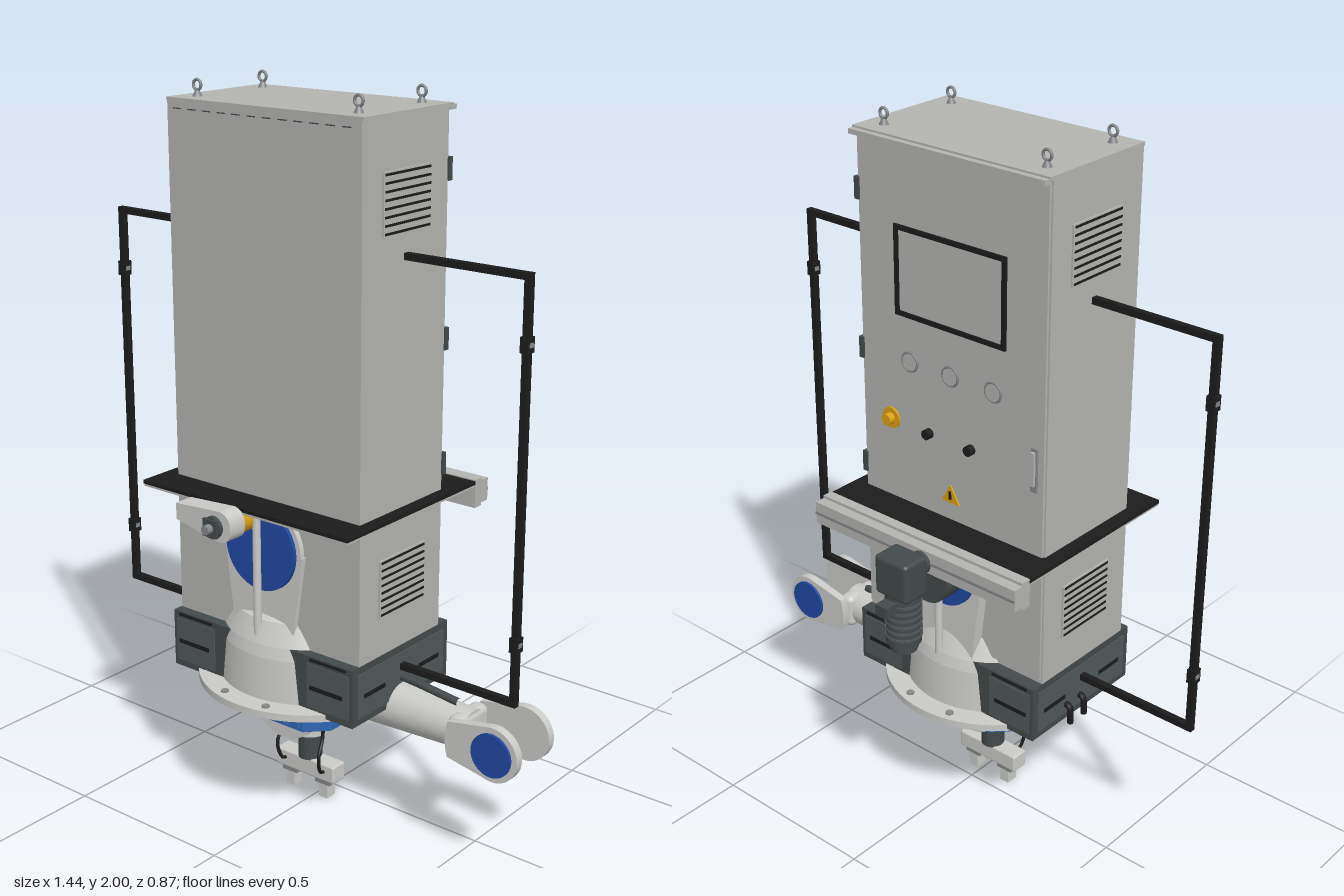
import * as THREE from 'three';
import { RoundedBoxGeometry } from 'three/addons/geometries/RoundedBoxGeometry.js';

const mat = (name, color, side = THREE.FrontSide) => {
  const m = new THREE.MeshStandardMaterial({ color, side });
  m.name = name;
  return m;
};

export function createModel() {
  const root = new THREE.Group();
  root.name = 'robotCell';
  const grey = mat('cabinetGrey', 0xb4b4b1);
  const light = mat('castingGrey', 0xcacac7, THREE.DoubleSide);
  const dark = mat('slateGrey', 0x434a4b);
  const panel = mat('panelSlate', 0x50585a);
  const black = mat('black', 0x1c1c1c);
  const blue = mat('capBlue', 0x2248a4);
  const baseBlue = mat('housingBlue', 0x2f68b2);
  const yellow = mat('yellow', 0xdba313);
  const steel = mat('steel', 0x85888a);

  const add = (name, geo, m, x = 0, y = 0, z = 0, parent = root) => {
    const mesh = new THREE.Mesh(geo, m);
    mesh.name = name;
    mesh.position.set(x, y, z);
    parent.add(mesh);
    return mesh;
  };
  // Box from its limits on each axis
  const box = (name, m, x0, x1, y0, y1, z0, z1, r = 0) => {
    const s = [x1 - x0, y1 - y0, z1 - z0];
    const g = r ? new RoundedBoxGeometry(...s, 3, r) : new THREE.BoxGeometry(...s);
    return add(name, g, m, (x0 + x1) / 2, (y0 + y1) / 2, (z0 + z1) / 2);
  };
  // Upright cylinder, and one lying along z
  const cylY = (name, m, x, z, y0, y1, rTop, rBottom = rTop) =>
    add(name, new THREE.CylinderGeometry(rTop, rBottom, y1 - y0, 40), m, x, (y0 + y1) / 2, z);
  const cylZ = (name, m, x, y, z0, z1, r) =>
    add(name, new THREE.CylinderGeometry(r, r, z1 - z0, 40).rotateX(Math.PI / 2), m, x, y, (z0 + z1) / 2);
  const tube = (name, m, r, pts) => add(name, new THREE.TubeGeometry(
    new THREE.CatmullRomCurve3(pts.map(p => new THREE.Vector3(...p))), 20, r, 8), m);
  const plate = (name, m, shape, z0, z1) =>
    add(name, new THREE.ExtrudeGeometry(shape, { depth: z1 - z0, bevelEnabled: false, curveSegments: 24 }), m, 0, 0, z0);

  const CX = -0.03, CZ = 0.06;

  // Cabinet with door and roof lip
  box('cabinet', grey, -0.345, 0.285, 0.5, 1.95, -0.11, 0.24);
  box('door', grey, -0.34, 0.28, 0.56, 1.935, -0.117, -0.11);
  box('roof', grey, -0.348, 0.288, 1.943, 1.953, -0.125, 0.24);
  box('roofLip', grey, -0.345, 0.285, 1.935, 1.948, -0.142, -0.118);
  for (const x of [-0.293, 0.23]) for (const z of [-0.07, 0.183]) {
    cylY('eyeboltFoot', steel, x, z, 1.95, 1.968, 0.006, 0.014);
    add('eyebolt', new THREE.TorusGeometry(0.013, 0.004, 8, 20), steel, x, 1.982, z);
  }
  for (let i = 0; i < 12; i++)
    box('seamSlot', dark, -0.325 + i * 0.05, -0.297 + i * 0.05, 1.925, 1.928, 0.24, 0.241);

  // Side louvres
  for (const x of [-0.345, 0.285]) for (const y of [0.66, 1.66]) {
    box('ventPanel', grey, x - 0.005, x + 0.005, y - 0.005, y + 0.155, -0.035, 0.16);
    for (let i = 0; i < 8; i++)
      box('ventSlot', black, x - 0.007, x + 0.007, y + i * 0.0207, y + i * 0.0207 + 0.006, -0.03, 0.155);
  }

  // Door fittings
  const rect = (s, x0, x1, y0, y1) => s.moveTo(x0, y0).lineTo(x1, y0).lineTo(x1, y1).lineTo(x0, y1).closePath();
  const screen = rect(new THREE.Shape(), -0.215, 0.155, 1.48, 1.725);
  screen.holes.push(rect(new THREE.Path(), -0.202, 0.142, 1.493, 1.712));
  plate('screenFrame', black, screen, -0.124, -0.116);
  box('screen', grey, -0.202, 0.142, 1.493, 1.712, -0.119, -0.116);
  for (const x of [0.11, -0.03, -0.174]) {
    cylZ('gaugeFace', grey, x, 1.356, -0.121, -0.116, 0.024);
    add('gaugeRing', new THREE.TorusGeometry(0.026, 0.0035, 8, 32), steel, x, 1.356, -0.119);
  }
  cylZ('stopPlate', yellow, 0.18, 1.174, -0.123, -0.116, 0.03);
  cylZ('stopButton', yellow, 0.18, 1.174, -0.142, -0.12, 0.016);
  for (const x of [0.045, -0.1]) cylZ('doorKnob', black, x, 1.17, -0.135, -0.116, 0.014);
  const sign = new THREE.Shape().moveTo(-0.06, 0.99).lineTo(0, 0.99).lineTo(-0.03, 1.042).closePath();
  plate('warningSign', yellow, sign, -0.122, -0.116);
  box('warningMark', black, -0.034, -0.026, 1.0, 1.024, -0.124, -0.121);
  box('doorHandle', steel, -0.322, -0.3, 1.12, 1.245, -0.122, -0.116, 0.002);
  box('doorLever', grey, -0.317, -0.305, 1.14, 1.235, -0.13, -0.12);
  for (const y of [1.01, 1.35, 1.79])
    box('hinge', dark, 0.275, 0.29, y - 0.03, y + 0.03, -0.123, -0.108);

  // Table around the cabinet with the rear beam
  box('tableTop', black, -0.385, 0.32, 0.927, 0.937, -0.222, 0.335);
  box('tableUnderside', grey, -0.383, 0.318, 0.92, 0.927, -0.22, 0.333);
  box('rearBeam', grey, -0.385, 0.32, 0.86, 0.94, -0.25, -0.22);
  box('rearBeamRail', grey, -0.385, 0.32, 0.868, 0.932, -0.28, -0.25);
  box('rearBeamGroove', steel, -0.385, 0.32, 0.896, 0.904, -0.283, -0.279);

  // Rear gear motor
  const MX = -0.07;
  cylZ('motorCoupling', dark, MX, 0.895, -0.32, -0.275, 0.032);
  box('gearbox', dark, MX - 0.056, MX + 0.056, 0.835, 0.95, -0.4, -0.315, 0.012);
  cylY('motorBody', dark, MX, -0.352, 0.69, 0.84, 0.047);
  cylY('motorFan', panel, MX, -0.352, 0.665, 0.695, 0.046, 0.036);
  for (let i = 0; i < 6; i++) cylY('motorFin', panel, MX, -0.352, 0.71 + i * 0.02, 0.717 + i * 0.02, 0.05);
  box('motorPlug', dark, MX - 0.02, MX + 0.02, 0.8, 0.83, -0.436, -0.39);

  // Front drive under the table edge
  const drive = new THREE.Shape().moveTo(-0.205, 0.885).lineTo(-0.1, 0.862).lineTo(-0.05, 0.855)
    .quadraticCurveTo(-0.015, 0.86, -0.015, 0.895).quadraticCurveTo(-0.015, 0.935, -0.05, 0.94)
    .lineTo(-0.205, 0.93).closePath();
  plate('driveHousing', light, drive, 0.338, 0.395);
  cylZ('driveHub', dark, MX, 0.895, 0.39, 0.408, 0.03);
  box('driveFlange', dark, MX - 0.024, MX + 0.024, 0.871, 0.919, 0.405, 0.414);
  cylZ('driveShaft', steel, MX, 0.895, 0.41, 0.432, 0.013);
  cylZ('frontSpindle', yellow, MX, 0.89, 0.24, 0.345, 0.038);
  cylZ('rearSpindle', yellow, MX, 0.905, -0.22, -0.11, 0.024);

  // Dark skirt with panels and slots
  box('skirt', dark, -0.347, 0.287, 0.38, 0.545, -0.15, 0.27);
  for (const z of [-0.151, 0.271]) for (const s of [-1, 1]) {
    const c = CX + s * 0.235;
    box('skirtPanel', panel, c - 0.07, c + 0.07, 0.4, 0.525, z - 0.002, z + 0.002);
    box('skirtSlot', black, c - 0.06, c + 0.05, 0.452, 0.464, z - 0.004, z + 0.004);
    box('skirtTopSlot', black, c - 0.06, c + 0.06, 0.535, 0.541, z - 0.004, z + 0.004);
  }
  for (const x of [-0.348, 0.288]) {
    box('skirtSidePanel', panel, x - 0.002, x + 0.002, 0.4, 0.525, -0.13, 0.25);
    for (const z of [-0.06, 0.18]) box('skirtSideSlot', black, x - 0.004, x + 0.004, 0.452, 0.464, z - 0.045, z + 0.045);
  }
  for (const z of [-0.01, 0.05])
    tube('cablePlug', black, 0.009, [[-0.34, 0.43, z], [-0.362, 0.427, z], [-0.367, 0.405, z], [-0.367, 0.375, z]]);

  // Round turret and its bolted flange
  const profile = [[0, 0.372], [0.31, 0.372], [0.31, 0.392], [0.25, 0.392], [0.243, 0.512], [0.235, 0.545], [0.21, 0.605], [0.19, 0.618], [0, 0.618]];
  const lathePts = profile.flatMap(p => [new THREE.Vector2(...p), new THREE.Vector2(...p)]);
  add('turret', new THREE.LatheGeometry(lathePts, 64), light, CX, 0, CZ);
  for (let i = 0; i < 12; i++) {
    const a = (i + 0.5) * Math.PI / 6;
    cylY('flangeBolt', steel, CX + 0.282 * Math.cos(a), CZ + 0.282 * Math.sin(a), 0.368, 0.396, 0.011);
  }

  // Tapered uprights with blue bearing caps, front and back
  const HY = 0.805;
  const upright = new THREE.Shape().moveTo(CX - 0.1, 0.55).lineTo(CX + 0.1, 0.55).lineTo(CX + 0.137, HY)
    .absarc(CX, HY, 0.132, 0, Math.PI, false).closePath();
  plate('frontUpright', light, upright, 0.238, 0.255);
  plate('rearUpright', light, upright, -0.15, -0.118);
  cylZ('frontCap', blue, CX, HY, 0.25, 0.266, 0.118);
  cylZ('rearCap', blue, CX, HY, -0.16, -0.145, 0.11);
  cylZ('rearHub', dark, CX, HY, -0.222, -0.155, 0.075);
  cylY('frontRod', light, CX, 0.277, 0.54, 0.9, 0.011);
  cylY('rearRod', light, CX, -0.172, 0.54, 0.9, 0.011);

  // Blue housing and the round knuckle beneath it
  const oct = new THREE.Shape();
  [[-0.155, -0.09], [-0.1, -0.147], [0.1, -0.147], [0.155, -0.09], [0.155, 0.09], [0.1, 0.147], [-0.1, 0.147], [-0.155, 0.09]]
    .forEach(([x, z], i) => (i ? oct.lineTo(x, z) : oct.moveTo(x, z)));
  add('blueHousing', new THREE.ExtrudeGeometry(oct, { depth: 0.1, bevelEnabled: false }).rotateX(-Math.PI / 2), baseBlue, CX - 0.005, 0.272, CZ);
  for (let i = -2; i <= 2; i++)
    box('housingRib', baseBlue, CX - 0.005 + i * 0.04, CX + 0.005 + i * 0.04, 0.28, 0.365, -0.094, 0.214);
  cylZ('knuckle', light, CX, 0.335, -0.05, 0.178, 0.12);

  // Wrist, gripper and hoses
  cylY('wristCollar', light, CX, CZ, 0.19, 0.225, 0.05);
  cylY('wristShaft', dark, CX, CZ, 0.11, 0.195, 0.034);
  box('gripperBody', light, CX - 0.105, CX + 0.105, 0.06, 0.113, 0.033, 0.087, 0.006);
  for (const s of [-1, 1]) {
    const fx = CX + s * 0.06;
    box('gripperSlide', steel, fx - 0.026, fx + 0.026, 0.046, 0.062, 0.04, 0.08);
    box('gripperFinger', light, fx - 0.015, fx + 0.015, 0.003, 0.05, 0.042, 0.078);
    const hx = CX + s * 0.07;
    tube('hose', black, 0.005, [[hx, 0.27, 0.09], [hx, 0.2, 0.09], [hx + s * 0.006, 0.15, 0.115], [hx, 0.095, 0.1], [hx, 0.09, 0.08]]);
  }

  // Side arm ending in a fork with blue caps
  const arm = add('sideArm', new THREE.CylinderGeometry(0.057, 0.074, 0.43, 40), light, 0.31, 0.37, CZ);
  arm.rotation.z = -Math.PI / 2;
  box('forkBridge', light, 0.48, 0.53, 0.318, 0.424, -0.008, 0.124, 0.02);
  const fork = new THREE.Shape().moveTo(0.5, 0.32).lineTo(0.615, 0.299)
    .absarc(0.638, 0.371, 0.076, -1.85, 1.85, false).lineTo(0.5, 0.422)
    .quadraticCurveTo(0.485, 0.371, 0.5, 0.32);
  for (const [z0, z1] of [[-0.03, -0.006], [0.12, 0.145]]) {
    plate('forkPlate', light, fork, z0, z1);
    cylZ('forkCap', blue, 0.638, 0.371, z0 < 0 ? -0.037 : 0.14, z0 < 0 ? -0.025 : 0.152, 0.06);
  }
  tube('armCable', dark, 0.011, [[0.28, 0.455, CZ], [0.36, 0.448, CZ], [0.475, 0.435, CZ]]);

  // Square-tube guard frames on both sides
  const T = 0.009;
  for (const [outer, wall] of [[-0.708, -0.34], [0.645, 0.28]]) {
    const lo = Math.min(outer, wall), hi = Math.max(outer, wall);
    box('framePost', black, outer - T, outer + T, 0.477, 1.605, CZ - T, CZ + T);
    for (const y of [0.486, 1.596]) box('frameRail', black, lo, hi, y - T, y + T, CZ - T, CZ + T);
    for (const y of [0.65, 1.43]) {
      box('frameBracket', black, outer - 0.012, outer + 0.012, y - 0.02, y + 0.02, CZ - 0.014, CZ + 0.014);
      box('frameClip', steel, outer - 0.0135, outer + 0.0135, y - 0.006, y + 0.006, CZ - 0.008, CZ + 0.008);
    }
  }
  return root;
}
